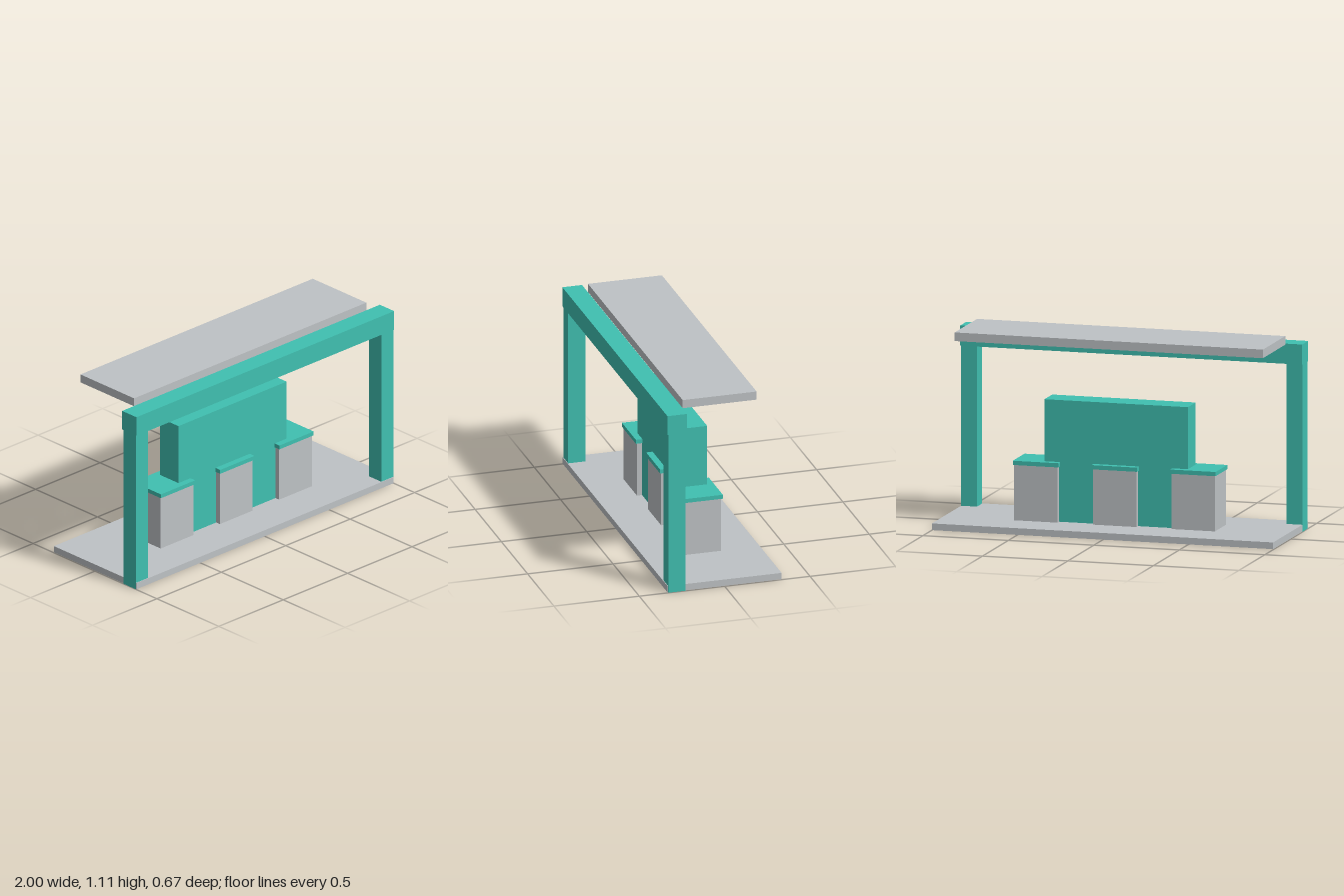
import * as THREE from 'three';

export function createModel() {
  const model = new THREE.Group();
  model.name = 'counterStand';

  const teal = new THREE.MeshStandardMaterial({ color: 0x40c0b1 });
  teal.name = 'teal';
  const grey = new THREE.MeshStandardMaterial({ color: 0xbec2c5 });
  grey.name = 'light grey';

  // Box given by its extents along each axis
  function box(name, material, [x0, x1], [y0, y1], [z0, z1]) {
    const mesh = new THREE.Mesh(new THREE.BoxGeometry(x1 - x0, y1 - y0, z1 - z0), material);
    mesh.position.set((x0 + x1) / 2, (y0 + y1) / 2, (z0 + z1) / 2);
    mesh.name = name;
    model.add(mesh);
  }

  // Floor slab; the posts and wall pass through to its underside
  box('floorSlab', grey, [-0.998, 0.998], [0.002, 0.04], [-0.334, 0.334]);

  // Front frame: two posts and a header beam
  for (const [name, x0, x1] of [['rightPost', -0.999, -0.905], ['leftPost', 0.905, 0.999]]) {
    box(name, teal, [x0, x1], [0, 0.955], [0.229, 0.33]);
  }
  box('headerBeam', teal, [-1, 1], [0.953, 1.068], [0.22, 0.335]);

  // Flat roof panel behind the beam
  box('roofPanel', grey, [-0.903, 0.9], [1.063, 1.112], [-0.218, 0.215]);

  // Central partition wall
  box('centreWall', teal, [-0.422, 0.417], [0, 0.733], [-0.077, 0.073]);

  // Three counters with overhanging tops
  for (const [side, x] of [['right', -0.462], ['middle', -0.002], ['left', 0.458]]) {
    box(side + 'Counter', grey, [x - 0.127, x + 0.127], [0.03, 0.357], [-0.107, 0.103]);
    box(side + 'CounterTop', teal, [x - 0.133, x + 0.133], [0.356, 0.38], [-0.115, 0.111]);
  }

  return model;
}
